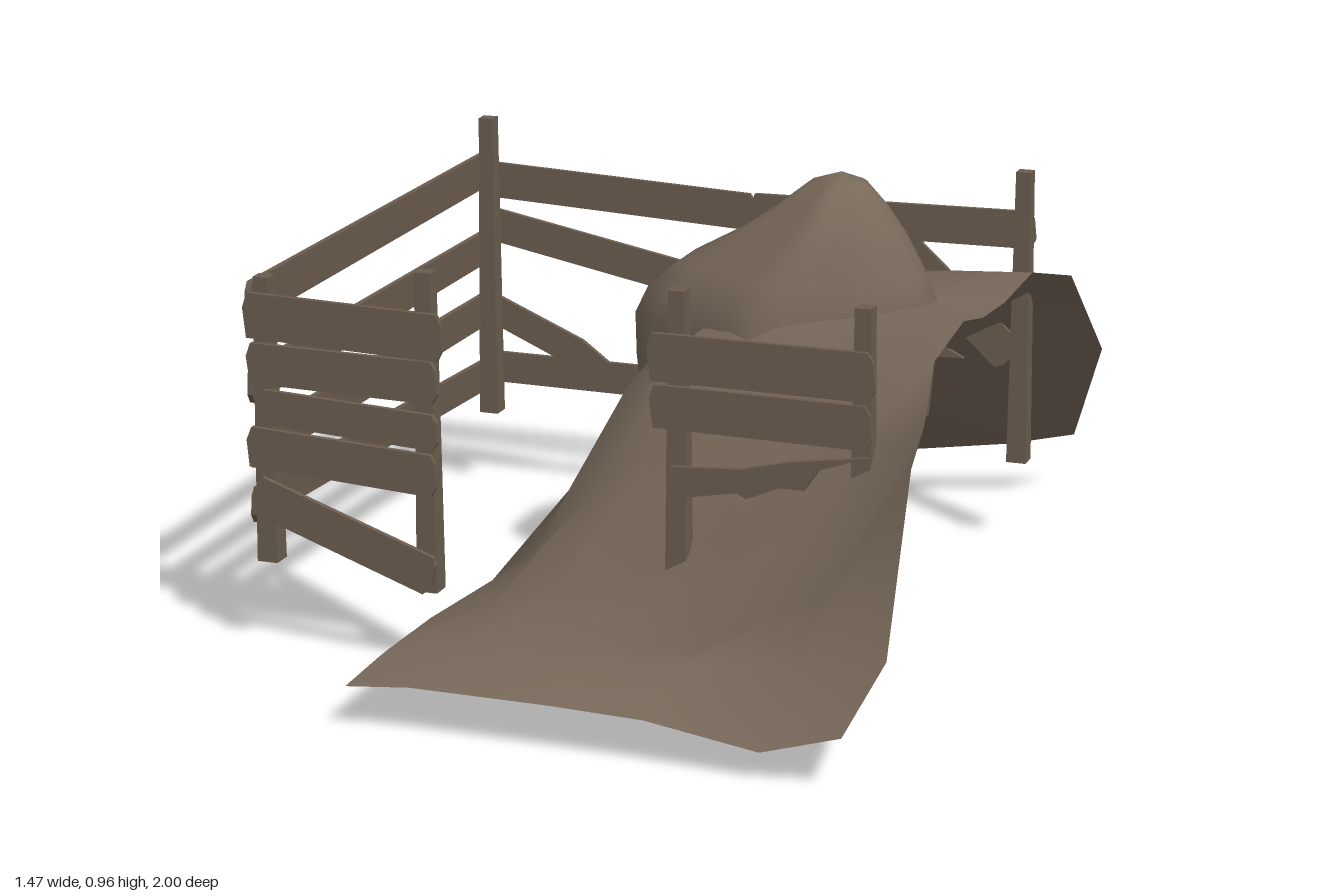
import * as THREE from 'three';
import { mergeVertices } from 'three/addons/utils/BufferGeometryUtils.js';

const ground = new THREE.MeshStandardMaterial({ color: 0x78695a, side: THREE.DoubleSide });
ground.name = 'earth brown';
const wood = new THREE.MeshStandardMaterial({ color: 0x6b5d4f });
wood.name = 'weathered wood';

// Smooth surface through rows of points of equal length
function loft(rows) {
  const n = rows[0].length, index = [];
  for (let r = 0; r < rows.length - 1; r++) {
    for (let c = 0; c < n - 1; c++) {
      const a = r * n + c, b = a + n;
      index.push(a, b, a + 1, a + 1, b, b + 1);
    }
  }
  let g = new THREE.BufferGeometry();
  g.setAttribute('position', new THREE.Float32BufferAttribute(rows.flat(2), 3));
  g.setIndex(index);
  g = mergeVertices(g, 1e-4);
  g.computeVertexNormals();
  return g;
}

function add(parent, name, geometry, material) {
  const m = new THREE.Mesh(geometry, material);
  m.name = name;
  parent.add(m);
  return m;
}

// Hillside: each row is z, left x, right x, then heights across
function makeHillside() {
  const across = [0, 0.13, 0.27, 0.42, 0.61, 0.84, 1];
  const backEdge = [0.02, 0.02, 0.035, 0.055, 0.085, 0.03, 0];
  const rows = [
    [-1, -0.33, 0.62, [0.01, 0.04, 0.075, 0.08, 0.09, 0.11, 0.14]],
    [-0.77, -0.31, 0.735, [0, 0.05, 0.11, 0.17, 0.24, 0.33, 0.42]],
    [-0.6, -0.325, 0.7, [0.02, 0.09, 0.19, 0.29, 0.4, 0.53, 0.63]],
    [-0.33, -0.35, 0.68, [0.05, 0.19, 0.42, 0.61, 0.67, 0.69, 0.7]],
    [-0.1, -0.31, 0.68, [0.045, 0.27, 0.54, 0.66, 0.69, 0.69, 0.69]],
    [0.07, -0.3, 0.68, [0.045, 0.3, 0.56, 0.66, 0.7, 0.7, 0.7]],
    [0.22, -0.31, 0.68, [0.06, 0.28, 0.53, 0.65, 0.68, 0.71, 0.73]],
    [0.4, -0.32, 0.67, [0.08, 0.19, 0.35, 0.47, 0.58, 0.67, 0.69]],
    [0.6, -0.34, 0.71, [0.1, 0.14, 0.19, 0.24, 0.35, 0.53, 0.62]],
    [0.79, -0.345, 0.74, [0.1, 0.115, 0.135, 0.15, 0.18, 0.31, 0.59]],
    [0.85, -0.345, 0.715, [0.1, 0.11, 0.125, 0.14, 0.155, 0.18, 0.22]],
    [0.99, -0.35, 0.67, [0.09, 0.1, 0.1, 0.1, 0.095, 0.06, 0.11]],
  ];
  return loft(rows.map(([z, x0, x1, h], r) => across.map((u, c) =>
    [x0 + (x1 - x0) * u, h[c], z + (r === 0 ? backEdge[c] : 0) + (r === 11 && c === 0 ? 0.01 : 0)])));
}

// Mound: one lumpy outline fitted into rings given as height, min x, max x, min z, max z
function makeMound() {
  const outline = [[0.545, -0.07], [0.54, 0], [0.48, 0.09], [0.4, 0.14], [0.33, 0.175],
    [0.28, 0.215], [0.22, 0.235], [0.15, 0.21], [0.05, 0.14], [-0.03, 0.1], [-0.09, 0.05],
    [-0.09, -0.11], [-0.02, -0.24], [0.05, -0.305], [0.14, -0.315], [0.23, -0.295],
    [0.35, -0.29], [0.43, -0.255], [0.5, -0.18], [0.545, -0.07]];
  const rings = [
    [0.44, -0.07, 0.53, -0.33, 0.27],
    [0.55, -0.085, 0.54, -0.32, 0.255],
    [0.64, -0.09, 0.55, -0.31, 0.24],
    [0.7, -0.06, 0.545, -0.28, 0.23],
    [0.755, 0, 0.525, -0.24, 0.2],
    [0.827, 0.127, 0.49, -0.175, 0.155],
    [0.887, 0.21, 0.45, -0.125, 0.11],
    [0.943, 0.28, 0.4, -0.075, 0.05],
    [0.965, 0.345, 0.345, -0.015, -0.015],
  ];
  return loft(rings.map(([y, x0, x1, z0, z1]) => outline.map(([x, z]) =>
    [x0 + (x1 - x0) * (x + 0.09) / 0.635, y, z0 + (z1 - z0) * (z + 0.315) / 0.55])));
}

// Flat plank cut from an outline
function plank(points) {
  const shape = new THREE.Shape(points.map(([x, y]) => new THREE.Vector2(x, y)));
  return new THREE.ExtrudeGeometry(shape, { depth: 0.012, bevelEnabled: false });
}

// Board between two end centres with chipped ends; tip makes the far end pointed
function board(x0, y0, x1, y1, h, tip = false) {
  const length = Math.hypot(x1 - x0, y1 - y0), k = h / 2;
  const far = tip
    ? [[length - 0.18, -k], [length, 0], [length - 0.14, k]]
    : [[length - 0.012, -k], [length, -k * 0.5], [length - 0.004, k * 0.6], [length - 0.015, k]];
  const g = plank([[0.008, -k * 0.9], ...far, [0.01, k * 1.05], [0, k * 0.4]]);
  g.rotateZ(Math.atan2(y1 - y0, x1 - x0));
  g.translate(x0, y0, 0);
  return g;
}

export function createModel() {
  const model = new THREE.Group();
  model.name = 'fencedHill';
  add(model, 'hillside', makeHillside(), ground);
  add(model, 'mound', makeMound(), ground);

  // Posts: x, z, bottom, top
  const posts = [
    [-0.697, -0.597, 0.18, 0.89], [0.59, -0.597, 0.19, 0.86],
    [-0.695, 0.605, 0.19, 0.8], [-0.335, 0.605, 0.165, 0.84],
    [0.207, 0.605, 0.2, 0.85], [0.592, 0.612, 0.19, 0.85],
  ];
  posts.forEach(([x, z, y0, y1]) => {
    const g = new THREE.CylinderGeometry(0.024, 0.032, y1 - y0, 4, 1).toNonIndexed();
    g.rotateY(Math.PI / 4);
    g.computeVertexNormals();
    add(model, 'fencePost', g, wood).position.set(x, (y0 + y1) / 2, z);
  });

  // Boards along each side, as start, end, height and pointed end
  const sides = {
    frontGateBoard: [
      [-0.73, 0.718, -0.287, 0.71, 0.098], [-0.725, 0.617, -0.3, 0.615, 0.088],
      [-0.7, 0.527, -0.3, 0.51, 0.075], [-0.73, 0.438, -0.305, 0.418, 0.088],
      [-0.72, 0.338, -0.315, 0.2, 0.085],
    ],
    frontRightBoard: [[0.15, 0.712, 0.62, 0.715, 0.1], [0.155, 0.612, 0.615, 0.612, 0.09]],
    backBoard: [
      [-0.735, 0.735, -0.05, 0.708, 0.085], [-0.06, 0.708, 0.61, 0.72, 0.085],
      [-0.72, 0.63, 0.45, 0.41, 0.08, true], [-0.72, 0.28, 0.04, 0.28, 0.075, true],
      [-0.72, 0.43, -0.36, 0.28, 0.07, true], [0.26, 0.69, 0.56, 0.42, 0.085],
    ],
    leftRail: [
      [-0.62, 0.755, 0.63, 0.745, 0.085], [-0.62, 0.57, 0.63, 0.57, 0.08],
      [-0.62, 0.42, 0.63, 0.43, 0.08], [-0.62, 0.26, 0.63, 0.31, 0.075],
    ],
  };
  const depth = { frontGateBoard: 0.626, frontRightBoard: 0.626, backBoard: -0.632 };
  for (const [name, list] of Object.entries(sides)) {
    list.forEach((b) => {
      const m = add(model, name, board(...b), wood);
      if (name === 'leftRail') {
        m.rotation.y = -Math.PI / 2;
        m.position.x = -0.716;
      } else m.position.z = depth[name];
    });
  }

  // Splintered board on the front right
  add(model, 'splinteredBoard', plank([[0.195, 0.425], [0.26, 0.44], [0.34, 0.455], [0.36, 0.445],
    [0.43, 0.475], [0.48, 0.475], [0.51, 0.52], [0.61, 0.555], [0.45, 0.53], [0.35, 0.505],
    [0.2, 0.495]]), wood).position.z = 0.63;
  return model;
}
